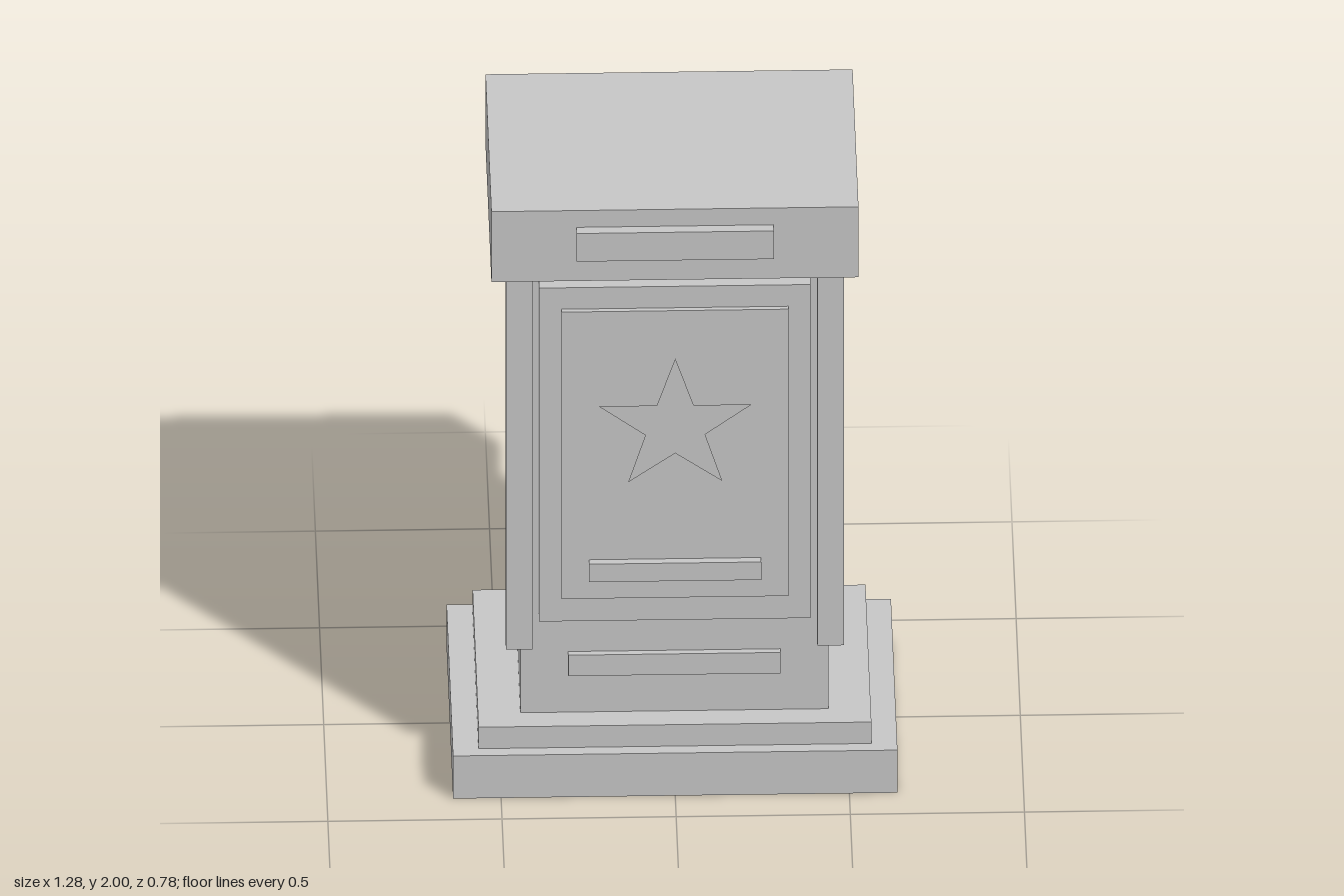
import * as THREE from 'three';

export function createModel() {
  const group = new THREE.Group();
  const stone = new THREE.MeshStandardMaterial({ color: 0xc7c7c7, side: THREE.DoubleSide });
  stone.name = 'light grey stone';

  // Box given by its limits on each axis
  const block = (name, [x0, x1], [y0, y1], [z0, z1]) => {
    const mesh = new THREE.Mesh(new THREE.BoxGeometry(x1 - x0, y1 - y0, z1 - z0), stone);
    mesh.position.set((x0 + x1) / 2, (y0 + y1) / 2, (z0 + z1) / 2);
    mesh.name = name;
    group.add(mesh);
  };
  // Box centred on x = 0
  const centred = (name, halfX, y, z) => block(name, [-halfX, halfX], y, z);

  // Stepped base, shaft and cap
  centred('plinth', 0.638, [0, 0.147], [-0.391, 0.391]);
  centred('plinthStep', 0.564, [0.147, 0.221], [-0.355, 0.355]);
  centred('shaft', 0.442, [0.221, 1.757], [-0.283, 0.283]);
  centred('cap', 0.527, [1.757, 2], [-0.355, 0.355]);

  // Pilasters on the front corners
  block('leftPilaster', [0.409, 0.485], [0.48, 1.757], [0.272, 0.344]);
  block('rightPilaster', [-0.485, -0.409], [0.48, 1.757], [0.272, 0.344]);

  // Layered front panel
  centred('panelFrame', 0.39, [0.579, 1.73], [0.28, 0.349]);
  centred('panel', 0.326, [0.666, 1.656], [0.34, 0.364]);

  // Raised bars
  centred('capBar', 0.283, [1.845, 1.942], [0.35, 0.387]);
  centred('panelBar', 0.247, [0.738, 0.8], [0.36, 0.387]);
  centred('footBar', 0.305, [0.358, 0.43], [0.28, 0.302]);

  // Thin five-pointed star held just in front of the panel
  const points = [];
  for (let i = 0; i < 10; i++) {
    const radius = i % 2 ? 0.09 : 0.23;
    const angle = Math.PI / 2 + (i * Math.PI) / 5;
    points.push(new THREE.Vector2(Math.cos(angle) * radius, Math.sin(angle) * radius * 1.02));
  }
  const star = new THREE.Mesh(new THREE.ShapeGeometry(new THREE.Shape(points)), stone);
  star.position.set(0, 1.273, 0.39);
  star.name = 'star';
  group.add(star);

  return group;
}
